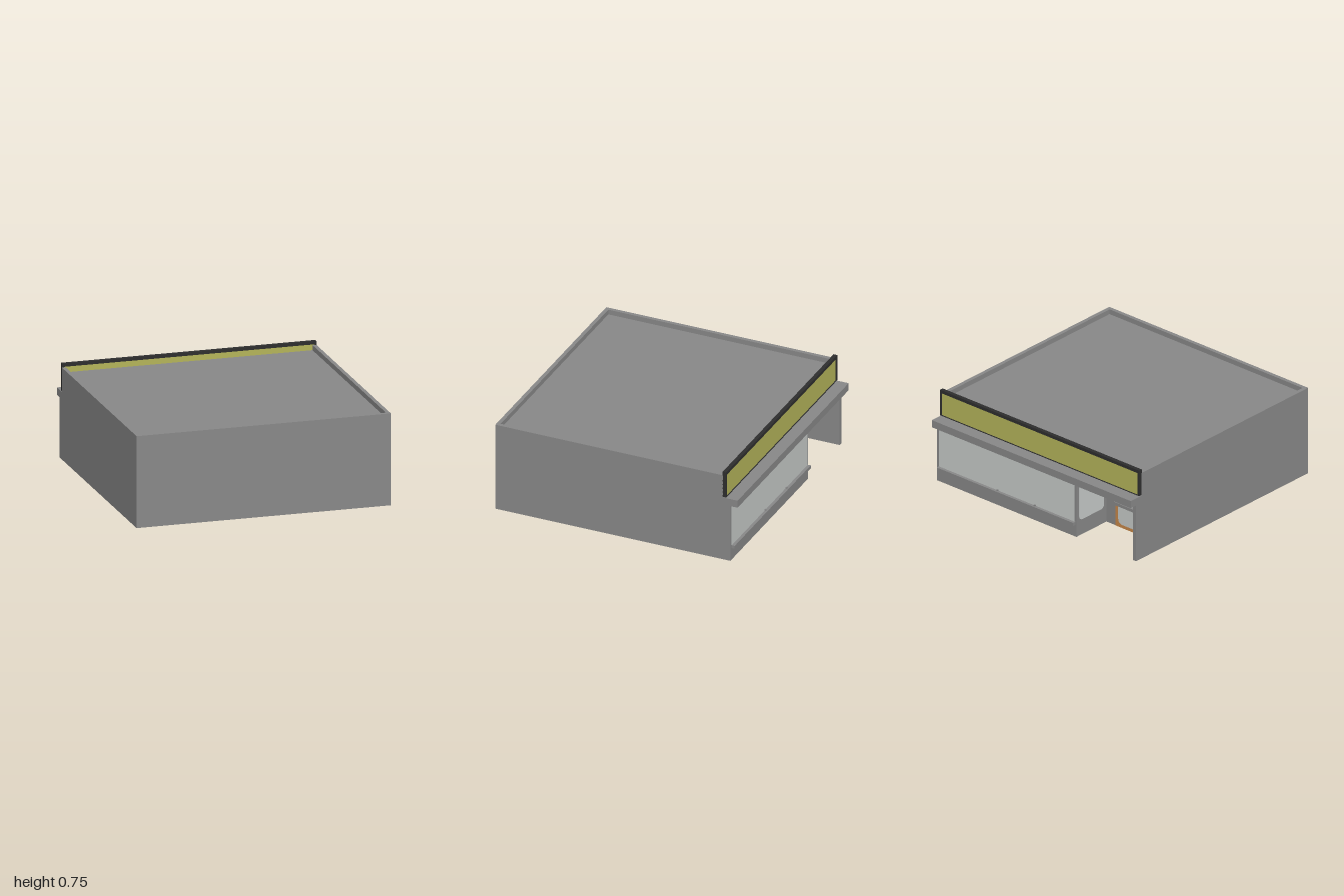
import * as THREE from 'three';

const mat = (name, color) => {
  const m = new THREE.MeshStandardMaterial({ color });
  m.name = name;
  return m;
};

export function createModel() {
  const wall = mat('wall grey', 0x888888);
  const trim = mat('dark trim', 0x2e2e2e);
  const olive = mat('sign olive', 0xb4b45a);
  const glass = mat('pale glass', 0xc6cac8);
  const wood = mat('door wood', 0xc68648);
  const model = new THREE.Group();
  model.name = 'shopBuilding';

  const add = (name, geo, material) => {
    const m = new THREE.Mesh(geo, material);
    m.name = name;
    model.add(m);
    return m;
  };
  // Box given by its minimum and maximum corners
  const box = (name, material, x0, x1, y0, y1, z0, z1) => {
    const m = add(name, new THREE.BoxGeometry(x1 - x0, y1 - y0, z1 - z0), material);
    m.position.set((x0 + x1) / 2, (y0 + y1) / 2, (z0 + z1) / 2);
    return m;
  };
  const poly = (pts) => pts.map(([x, y]) => new THREE.Vector2(x, y));
  // Floor plan of [x, z] points raised from y0 to y1
  const plan = (name, material, pts, y0, y1, hole) => {
    const flip = (list) => poly(list.map(([x, z]) => [x, -z]));
    const s = new THREE.Shape(flip(pts));
    if (hole) s.holes.push(new THREE.Path(flip(hole)));
    const g = new THREE.ExtrudeGeometry(s, { depth: y1 - y0, bevelEnabled: false });
    g.rotateX(-Math.PI / 2).translate(0, y0, 0);
    return add(name, g, material);
  };
  const rounded = (w, h, r) => {
    const s = new THREE.Shape();
    const x = w / 2, y = h / 2;
    s.moveTo(-x + r, -y).lineTo(x - r, -y).quadraticCurveTo(x, -y, x, -y + r);
    s.lineTo(x, y - r).quadraticCurveTo(x, y, x - r, y);
    s.lineTo(-x + r, y).quadraticCurveTo(-x, y, -x, y - r);
    s.lineTo(-x, -y + r).quadraticCurveTo(-x, -y, -x + r, -y);
    return s;
  };
  const plate = (name, material, w, h, r, depth) =>
    add(name, new THREE.ExtrudeGeometry(rounded(w, h, r), { depth, bevelEnabled: false }), material);

  // Ground storey with the entrance notch and the display cavity
  plan('groundStorey', wall, [
    [-1, 1], [1, 1], [1, -0.94], [-0.4, -0.94], [-0.4, -0.6],
    [-0.97, -0.6], [-0.97, -0.94], [-1, -0.94],
  ], 0, 0.47, [[-0.38, -0.6], [0.12, -0.6], [0.12, -0.83], [-0.38, -0.83]]);

  // Upper storey, parapet and canopy
  box('upperStorey', wall, -1, 1, 0.47, 0.68, -0.88, 1);
  plan('parapet', wall, [
    [-1, -0.88], [-1, 1], [1, 1], [1, -0.88],
    [0.97, -0.88], [0.97, 0.97], [-0.97, 0.97], [-0.97, -0.88],
  ], 0.68, 0.72);
  box('canopy', wall, -1, 1, 0.47, 0.53, -1, -0.87);

  // Sign board in a dark frame
  const frame = new THREE.Shape(poly([[-1, 0.535], [1, 0.535], [1, 0.75], [-1, 0.75]]));
  frame.holes.push(new THREE.Path(poly([
    [-0.985, 0.54], [-0.985, 0.725], [0.985, 0.725], [0.985, 0.54],
  ])));
  add('signFrame', new THREE.ExtrudeGeometry(frame, { depth: 0.03, bevelEnabled: false }), trim)
    .position.z = -0.906;
  box('signPanel', olive, -0.985, 0.985, 0.54, 0.725, -0.9, -0.879);

  // Display window, sill and sill pegs
  box('displayWindow', glass, -0.38, 0.98, 0.125, 0.465, -0.943, -0.939);
  box('windowSill', wall, -0.39, 0.98, 0.1, 0.125, -0.967, -0.93);
  for (const x of [0.01, 0.385]) {
    box('sillPeg', wall, x - 0.006, x + 0.006, 0.125, 0.135, -0.955, -0.943);
  }

  // Side window in the entrance
  const side = plate('sideWindow', glass, 0.28, 0.335, 0.04, 0.004);
  side.rotation.y = -Math.PI / 2;
  side.position.set(-0.399, 0.295, -0.77);

  // Entrance door with glass and push bar
  box('doorFrame', wood, -0.88, -0.495, 0.002, 0.468, -0.606, -0.599);
  const pane = plate('doorGlass', glass, 0.325, 0.41, 0.045, 0.004);
  pane.rotation.y = Math.PI;
  pane.position.set(-0.6875, 0.235, -0.605);
  box('doorBar', wall, -0.87, -0.505, 0.19, 0.215, -0.635, -0.605);

  return model;
}
